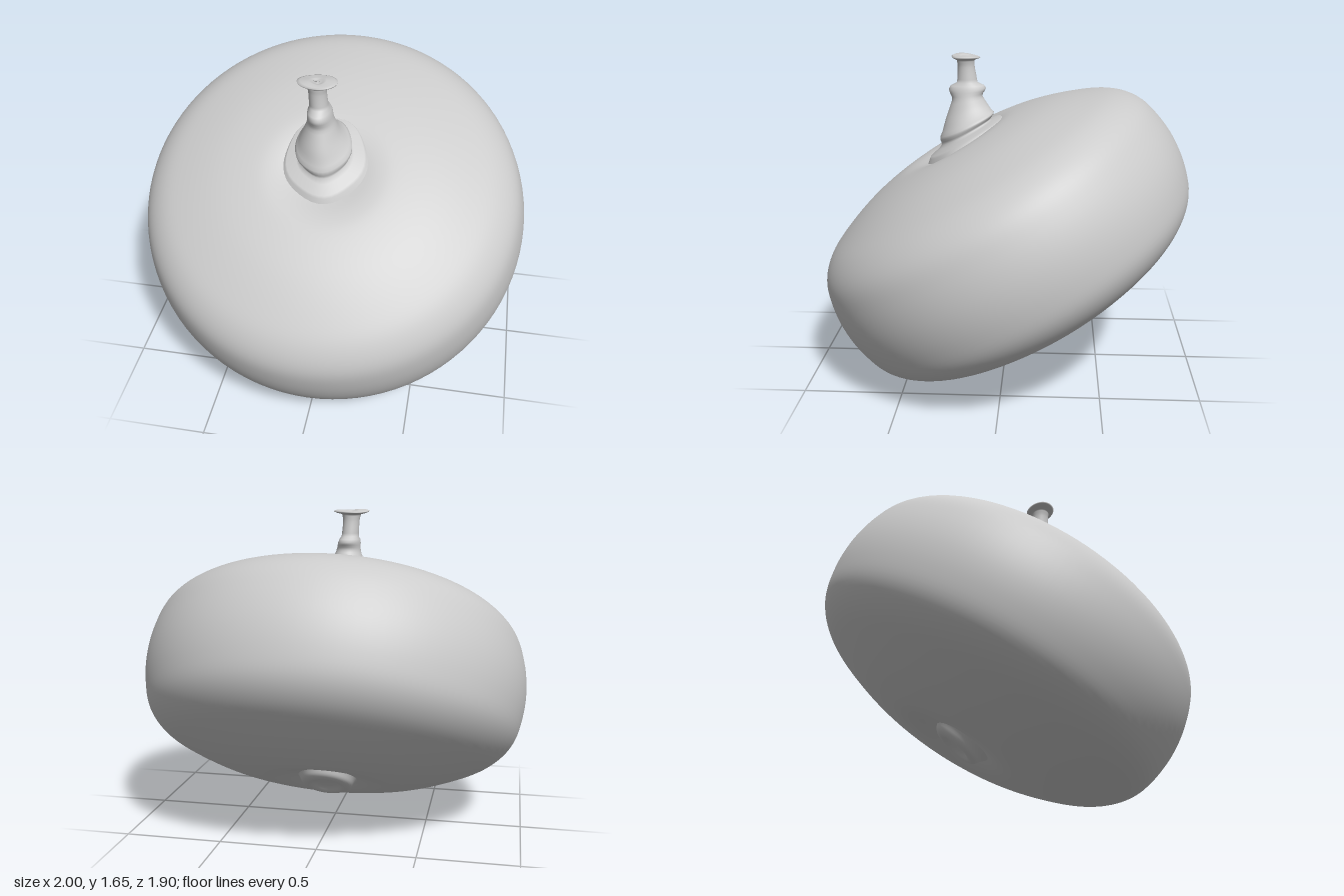
import * as THREE from 'three';

const TILT = Math.PI / 6;
const material = new THREE.MeshStandardMaterial({ color: 0xcccccc, roughness: 0.8, side: THREE.DoubleSide });

function smoothLathe(points, steps, segments) {
  const curve = new THREE.SplineCurve(points.map(([r, y]) => new THREE.Vector2(r, y)));
  const profile = curve.getPoints(steps);
  profile.forEach((p) => { p.x = Math.max(p.x, 0); });
  return new THREE.LatheGeometry(profile, segments);
}

function addMesh(parent, name, geometry) {
  const mesh = new THREE.Mesh(geometry, material);
  mesh.name = name;
  parent.add(mesh);
  return mesh;
}

// Stem skin: elliptical rings swept upward, easing from the tilted shoulder to level
function stemGeometry() {
  // centre x, y, z, radius x, radius z, tilt in degrees
  const rings = [
    [-0.01, 1.18, 0.19, 0.235, 0.255, 30],
    [-0.01, 1.225, 0.205, 0.19, 0.212, 30],
    [-0.02, 1.285, 0.2, 0.138, 0.155, 25],
    [-0.03, 1.35, 0.2, 0.095, 0.115, 16],
    [-0.032, 1.42, 0.2, 0.066, 0.08, 8],
    [-0.04, 1.5, 0.2, 0.046, 0.053, 0],
    [-0.045, 1.58, 0.205, 0.044, 0.044, 0],
    [-0.046, 1.615, 0.207, 0.05, 0.046, 0],
    [-0.046, 1.638, 0.205, 0.042, 0.04, -4],
    [-0.046, 1.632, 0.205, 0.02, 0.02, -4],
    [-0.046, 1.625, 0.205, 0, 0, 0],
  ];
  const path = (i) => new THREE.CatmullRomCurve3(
    rings.map((r) => new THREE.Vector3(r[i], r[i + 1], r[i + 2])));
  const centres = path(0), sizes = path(3);
  const rows = 50, sides = 40, positions = [], index = [];
  for (let j = 0; j <= rows; j++) {
    const c = centres.getPoint(j / rows), s = sizes.getPoint(j / rows);
    const tilt = THREE.MathUtils.degToRad(s.z);
    const foot = Math.max(0, 1 - j / 20);
    const head = Math.max(0, (j - 32) / 18);
    for (let i = 0; i < sides; i++) {
      const a = (i / sides) * Math.PI * 2;
      // Faint ridges at the foot and two lobes at the tip
      const k = 1 + 0.03 * foot * Math.sin(5 * a + 0.6) + 0.12 * head * Math.cos(2 * a + 0.8);
      const x = Math.cos(a) * Math.max(s.x, 0) * k, z = Math.sin(a) * Math.max(s.y, 0) * k;
      const lift = 0.008 * head * Math.cos(2 * a + 0.8) * Math.min(1, s.x / 0.04);
      positions.push(c.x + x, c.y - z * Math.sin(tilt) + lift, c.z + z * Math.cos(tilt));
      if (j < rows) {
        const n = (i + 1) % sides, p = j * sides;
        index.push(p + i, p + sides + i, p + n, p + n, p + sides + i, p + sides + n);
      }
    }
  }
  const geometry = new THREE.BufferGeometry();
  geometry.setAttribute('position', new THREE.Float32BufferAttribute(positions, 3));
  geometry.setIndex(index);
  geometry.computeVertexNormals();
  return geometry;
}

export function createModel() {
  const model = new THREE.Group();
  model.name = 'gourd';

  // Tilted fruit
  const fruit = new THREE.Group();
  fruit.name = 'fruit';
  fruit.position.y = 0.73;
  fruit.rotation.x = TILT;
  model.add(fruit);

  // Squat body with a shallow dimple at both poles
  const half = [[1, 0], [0.985, 0.14], [0.943, 0.263], [0.855, 0.355], [0.72, 0.423],
    [0.54, 0.486], [0.36, 0.522], [0.25, 0.522], [0.13, 0.495], [0, 0.48]];
  const lower = half.slice(1).reverse().map(([r, y]) => [r, -y]);
  addMesh(fruit, 'body', smoothLathe([...lower, ...half], 90, 96));

  // Blossom scar underneath, its face slightly slanted
  const scar = smoothLathe([[0, -0.532], [0.05, -0.535], [0.09, -0.55], [0.125, -0.54],
    [0.15, -0.505], [0.19, -0.46]], 24, 40);
  const p = scar.attributes.position;
  for (let i = 0; i < p.count; i++) p.setY(i, p.getY(i) - 0.18 * p.getZ(i));
  addMesh(fruit, 'blossomScar', scar).position.z = 0.03;

  addMesh(model, 'stem', stemGeometry());
  return model;
}
